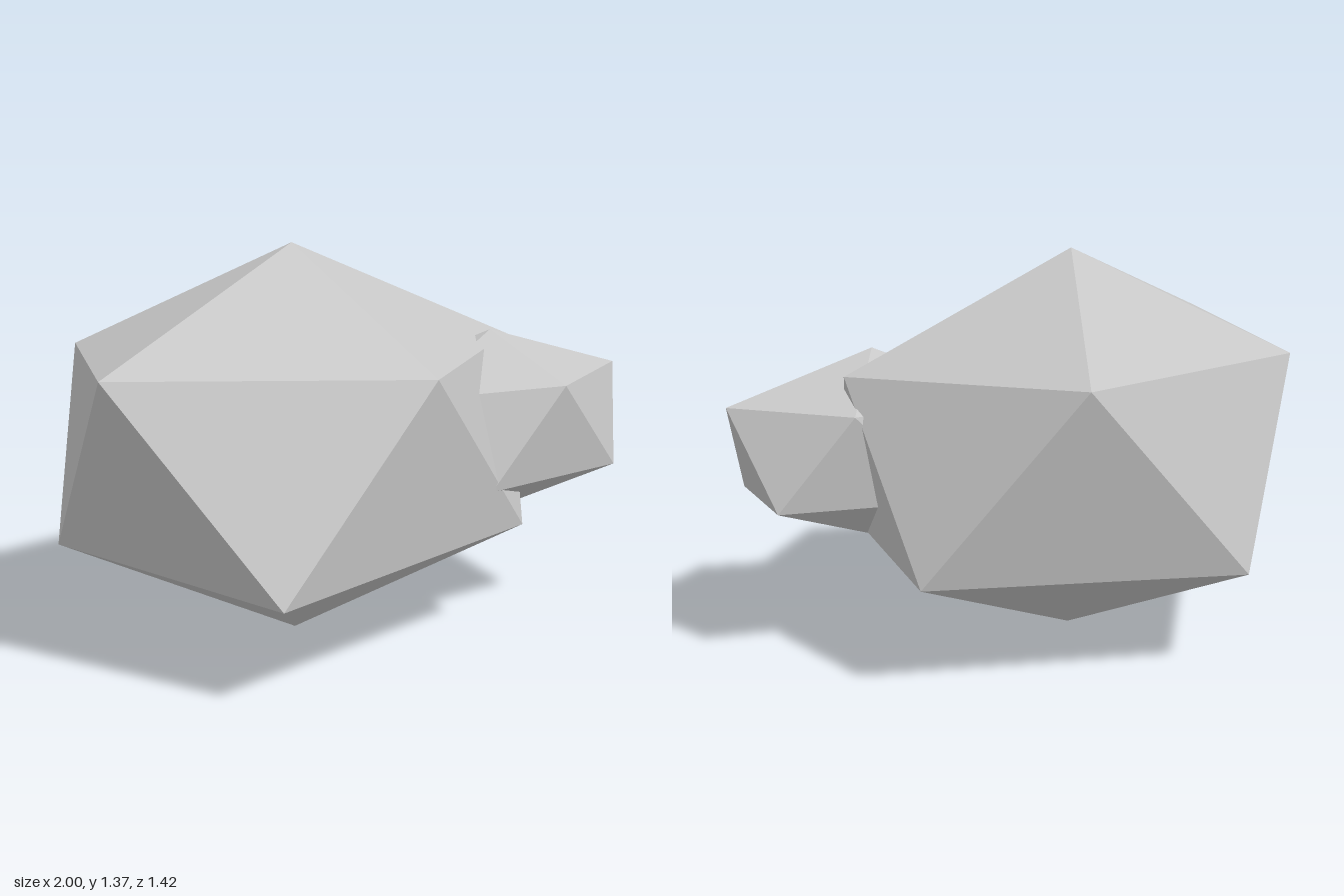
import * as THREE from 'three';

// Faceted boulder: two poles joined by two staggered rings of five corners
function boulder(name, top, upper, lower, bottom, material) {
  const positions = [];
  const face = (...corners) => corners.forEach((c) => positions.push(...c));
  for (let i = 0; i < 5; i++) {
    const j = (i + 1) % 5;
    face(top, upper[j], upper[i]);
    face(upper[i], upper[j], lower[i]);
    face(lower[i], upper[j], lower[j]);
    face(lower[i], lower[j], bottom);
  }
  const geometry = new THREE.BufferGeometry();
  geometry.setAttribute('position', new THREE.Float32BufferAttribute(positions, 3));
  geometry.computeVertexNormals(); // unshared corners keep every facet flat
  const mesh = new THREE.Mesh(geometry, material);
  mesh.name = name;
  return mesh;
}

export function createModel() {
  const model = new THREE.Group();
  model.name = 'rocks';
  const stone = new THREE.MeshStandardMaterial({ color: 0xc5c5c5 });
  stone.name = 'light stone grey';

  // Main rock, resting on its lower point
  model.add(boulder('largeRock',
    [-0.175, 1.367, -0.01],
    [[0.65, 1.0, -0.01], [0.08, 1.0, 0.588], [-0.94, 1.045, 0.412], [-0.835, 1.01, -0.38], [0.112, 1.04, -0.688]],
    [[0.52, 0.41, 0.37], [-0.48, 0.362, 0.708], [-1.0, 0.418, -0.01], [-0.47, 0.372, -0.708], [0.562, 0.39, -0.42]],
    [-0.175, 0, -0.01], stone));

  // Smaller rock, half buried in the left side of the main one
  model.add(boulder('smallRock',
    [0.495, 1.053, 0.147],
    [[1.0, 0.9, 0.147], [0.64, 0.897, 0.422], [0.12, 0.87, 0.31], [0.12, 0.88, -0.02], [0.65, 0.887, -0.108]],
    [[0.908, 0.572, 0.325], [0.36, 0.563, 0.44], [0.03, 0.57, 0.147], [0.35, 0.572, -0.14], [0.895, 0.572, -0.03]],
    [0.53, 0.4, 0.147], stone));

  return model;
}
